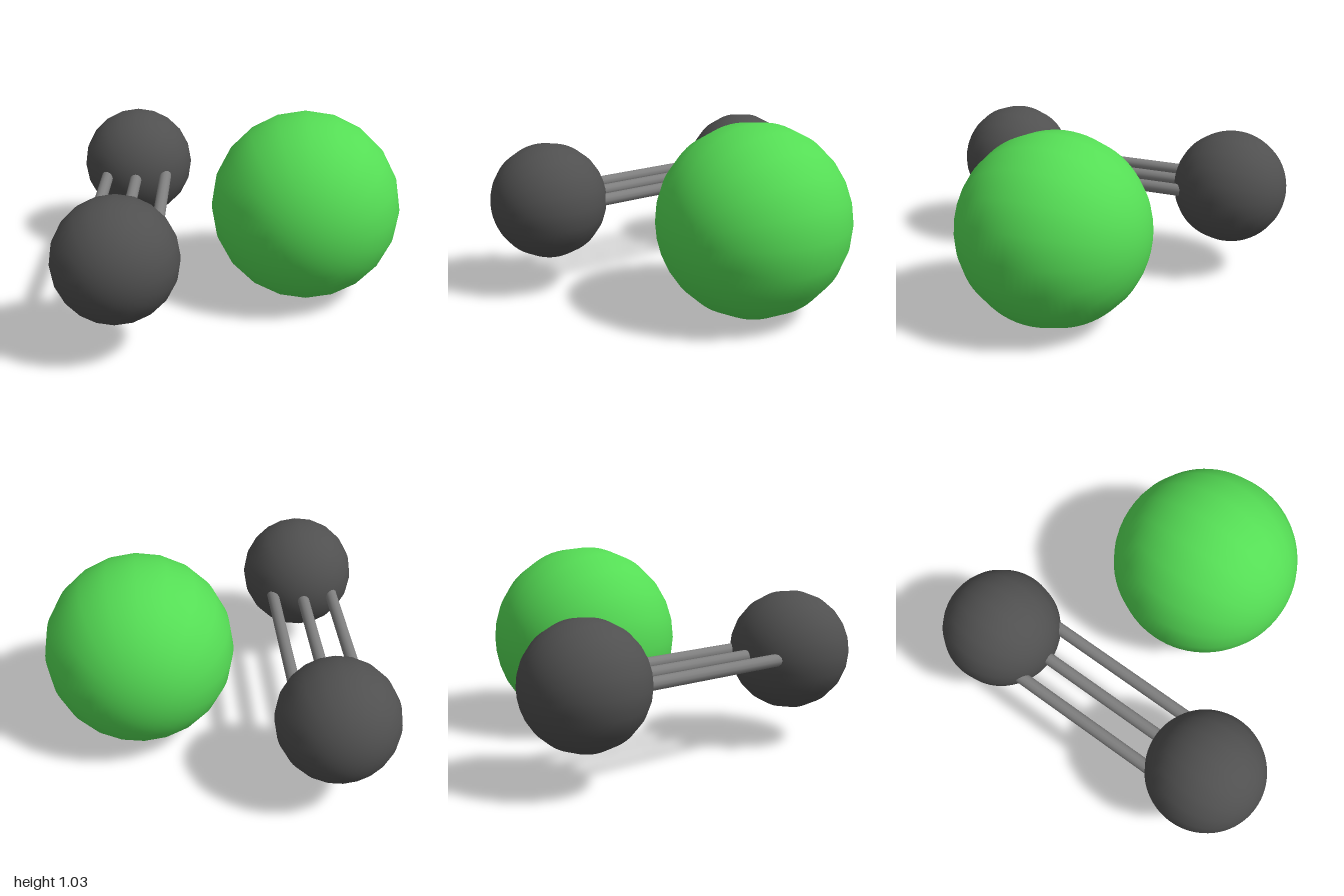
import * as THREE from 'three';

const CENTER_Y = 0.515;
const PAIR_X = -0.585;

export function createModel() {
  const model = new THREE.Group();
  model.name = 'molecule';
  const material = (color) => new THREE.MeshStandardMaterial({ color });
  const green = material(0x55dd55);
  const dark = material(0x505050);
  const grey = material(0x808080);

  function add(name, geometry, mat, x, z) {
    const mesh = new THREE.Mesh(geometry, mat);
    mesh.name = name;
    mesh.position.set(x, CENTER_Y, z);
    model.add(mesh);
  }

  // Atoms: twenty-sided around z, finely divided from pole to pole
  const atom = (radius) => new THREE.SphereGeometry(radius, 20, 40).rotateX(Math.PI / 2);
  add('largeAtom', atom(0.515), green, 0.39, 0);
  add('frontAtom', atom(0.32), dark, PAIR_X, 0.68);
  add('backAtom', atom(0.32), dark, PAIR_X, -0.68);

  // Triple bond: three parallel rods side by side, ends hidden in the atoms
  ['rightBond', 'middleBond', 'leftBond'].forEach((name, i) => {
    const rod = new THREE.CylinderGeometry(0.034, 0.034, 1.0, 12).rotateX(Math.PI / 2);
    add(name, rod, grey, PAIR_X + 0.008 + (i - 1) * 0.17, 0);
  });

  return model;
}
